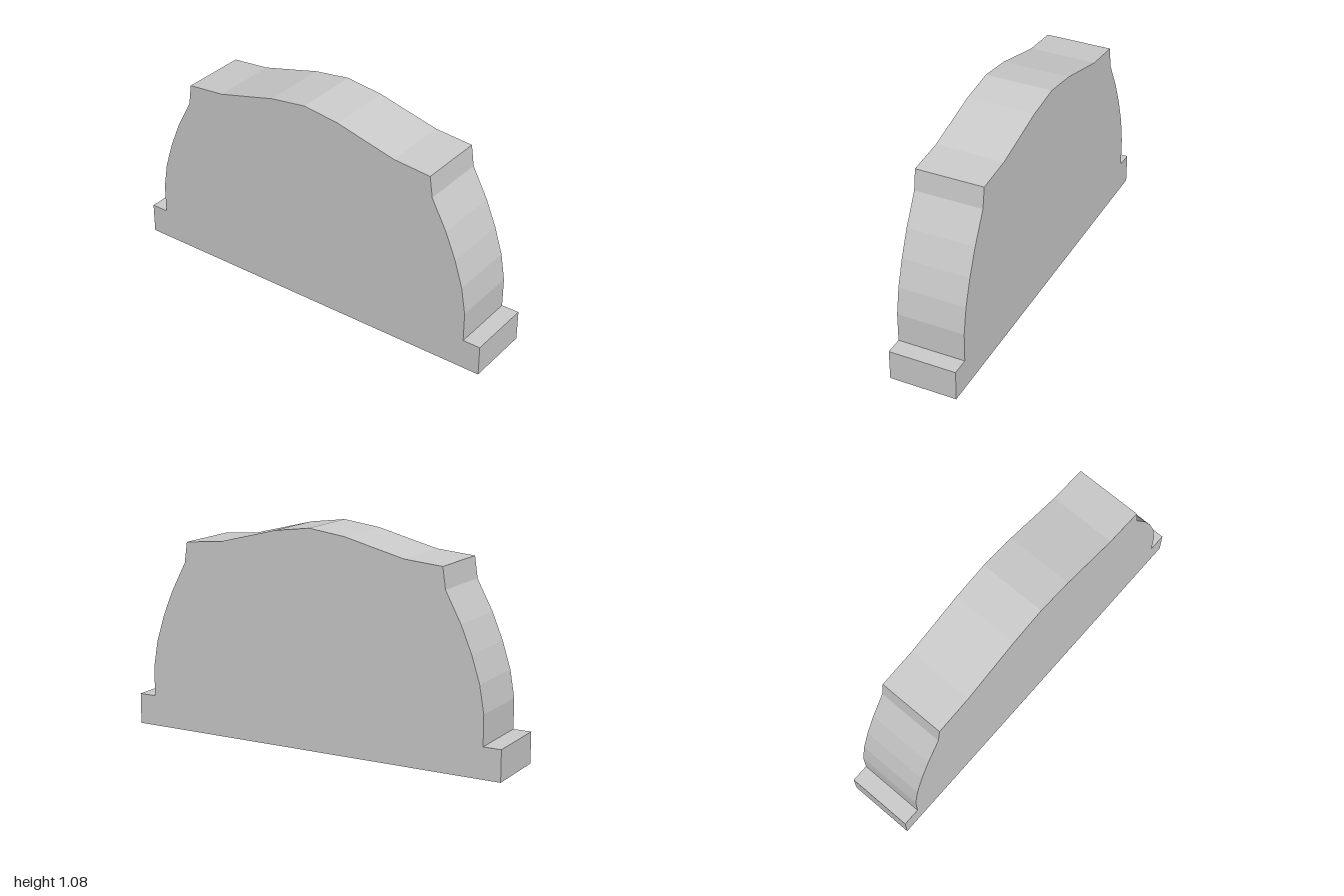
import * as THREE from 'three';

export function createModel() {
  const group = new THREE.Group();
  const material = new THREE.MeshStandardMaterial({ color: 0xcccccc, flatShading: true });
  const depth = 0.34;

  // Right half of the outline, from the foot up to the crown
  const half = [
    [1, 0], [1, 0.155], [0.91, 0.155],                                  // stepped foot
    [0.91, 0.305], [0.887, 0.44], [0.845, 0.573], [0.79, 0.705], [0.71, 0.855], // bowed flank
    [0.695, 0.96], [0.5, 0.977], [0.34, 1.017], [0.19, 1.055],          // shoulder and wavy top
  ];
  const mirrored = half.map(([x, y]) => [-x, y]).reverse();
  const outline = [...half, [0, 1.08], ...mirrored].map(([x, y]) => new THREE.Vector2(x, y));

  // One solid slab, centred front to back
  const geometry = new THREE.ExtrudeGeometry(new THREE.Shape(outline), { depth, bevelEnabled: false });
  geometry.translate(0, 0, -depth / 2);
  const slab = new THREE.Mesh(geometry, material);
  slab.name = 'archedSlab';
  group.add(slab);

  return group;
}
